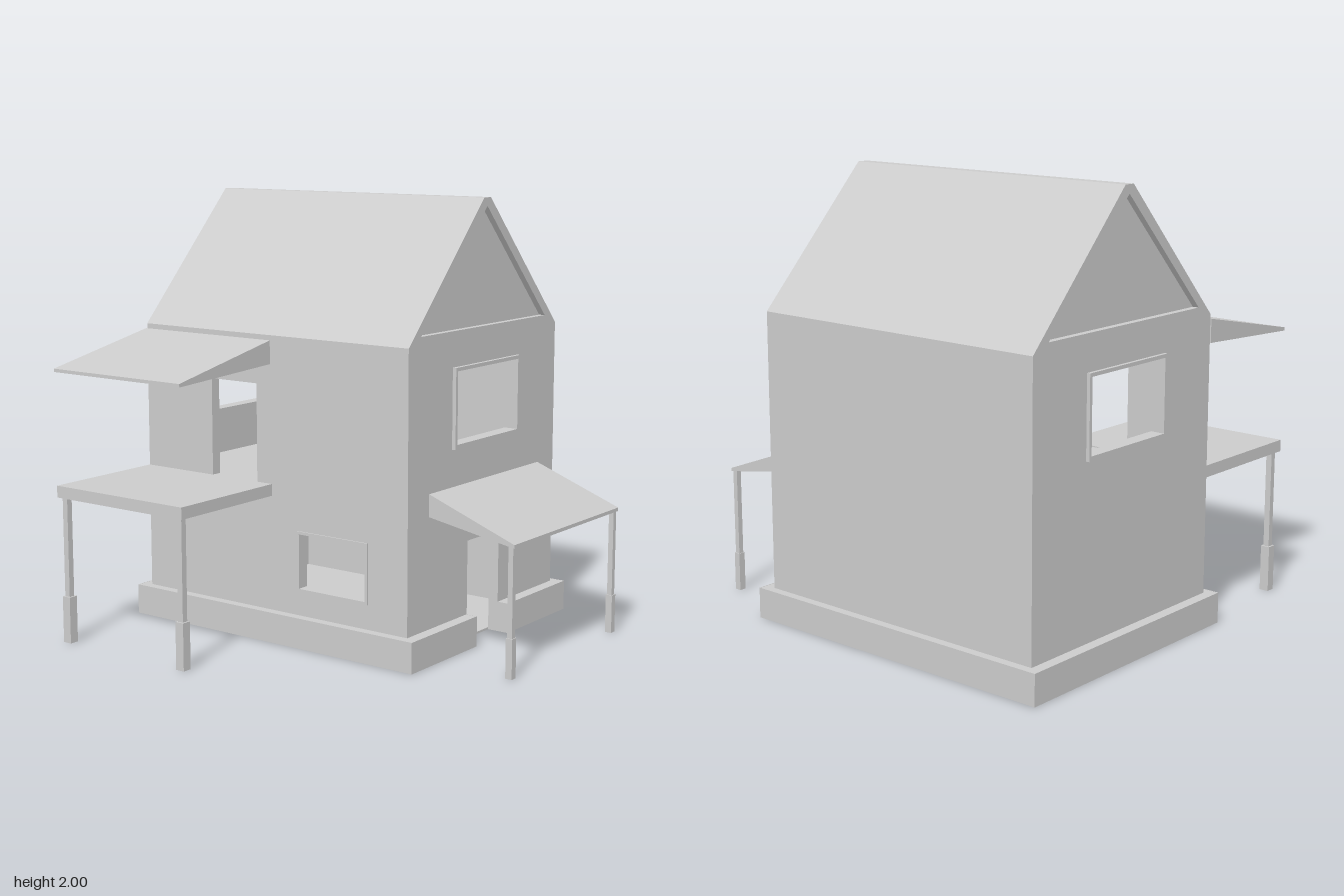
import * as THREE from 'three';

const mat = new THREE.MeshStandardMaterial({ color: 0xcccccc, flatShading: true });

// House outline
const X0 = -0.94, X1 = 0.55, Z0 = -0.88, Z1 = 0.316, T = 0.05;
const BASE = 0.14, EAVE = 1.395, RIDGE = 2, ZM = -0.28;

const rect = (a, b, c, d) => [[a, b], [c, b], [c, d], [a, d]];

function extrude(points, holes, depth) {
  const shape = new THREE.Shape(points.map(p => new THREE.Vector2(...p)));
  for (const h of holes) shape.holes.push(new THREE.Path(h.map(p => new THREE.Vector2(...p))));
  return new THREE.ExtrudeGeometry(shape, { depth, bevelEnabled: false });
}

export function createModel() {
  const group = new THREE.Group();
  const add = (name, geometry) => {
    const mesh = new THREE.Mesh(geometry, mat);
    mesh.name = name;
    group.add(mesh);
    return mesh;
  };
  // Box from its minimum and maximum corners
  const box = (name, x0, x1, y0, y1, z0, z1) =>
    add(name, new THREE.BoxGeometry(x1 - x0, y1 - y0, z1 - z0)
      .translate((x0 + x1) / 2, (y0 + y1) / 2, (z0 + z1) / 2));
  // Profile in (x, y) extruded along z
  const alongZ = (name, pts, holes, z0, z1) =>
    add(name, extrude(pts, holes, z1 - z0).translate(0, 0, z0));
  // Profile in (z, y) extruded along x
  const alongX = (name, pts, holes, x0, x1) =>
    add(name, extrude(pts, holes, x1 - x0).rotateY(-Math.PI / 2).translate(x1, 0, 0));
  // Plan in (x, z) extruded from y0 up to y1
  const alongY = (name, pts, holes, y0, y1) =>
    add(name, extrude(pts, holes, y1 - y0).rotateX(Math.PI / 2).translate(0, y1, 0));

  // Plinth: a hollow skirt open below, with a gap at the side door
  const ix0 = X0 + T, ix1 = X1 - T, iz0 = Z0 + T, iz1 = Z1 - T;
  const doorA = -0.41, doorB = -0.15;
  const plinthPlan = d => {
    const x0 = -0.99 + d, x1 = 0.605 - d, z0 = -0.92 + d, z1 = 0.36 - d;
    const a = doorA - d, b = doorB + d;
    return [[x1, b], [x1, z1], [x0, z1], [x0, z0], [x1, z0], [x1, a],
      [ix1 + d, a], [ix1 + d, iz0 - d], [ix0 - d, iz0 - d],
      [ix0 - d, iz1 + d], [ix1 + d, iz1 + d], [ix1 + d, b]];
  };
  alongY('plinthSkirt', plinthPlan(0), [plinthPlan(0.004)], 0, BASE);
  alongY('plinthTop', plinthPlan(0.002), [], BASE - 0.006, BASE - 0.0005);

  // Floors inside
  box('groundFloor', ix0, ix1, 0, 0.01, iz0, iz1);
  box('upperFloor', ix0, ix1, 0.668, 0.718, iz0, iz1);
  box('ceiling', ix0, ix1, EAVE, 1.43, iz0, iz1);

  // Long walls
  const frontWindow = rect(-0.037, 0.265, 0.327, 0.515);
  const balconyDoor = rect(-0.545, 0.723, -0.28, 1.172);
  alongZ('frontWall', rect(ix0, BASE, ix1, EAVE), [frontWindow, balconyDoor], iz1, Z1);
  box('backWall', ix0, ix1, BASE, EAVE, Z0, iz0);

  // Gable walls with a window and a recessed triangle
  const sideWindow = rect(-0.528, 0.935, -0.033, 1.26);
  const triangle = [[-0.785, 1.435], [0.225, 1.435], [ZM, 1.962]];
  const top = [[Z1, EAVE], [ZM + 0.027, RIDGE], [ZM - 0.027, RIDGE], [Z0, EAVE]];
  const plain = [[Z0, BASE], [Z1, BASE], ...top];
  const withDoor = [[Z0, BASE], [doorA, BASE], [doorA, 0.48], [doorB, 0.48], [doorB, BASE], [Z1, BASE], ...top];
  alongX('leftGableWall', withDoor, [sideWindow, triangle], ix1, X1);
  alongX('rightGableWall', plain, [sideWindow, triangle], X0, ix0);
  alongX('leftGablePanel', triangle, [], ix1, X1 - 0.03);
  alongX('rightGablePanel', triangle, [], X0 + 0.03, ix0);

  // Roof slabs between the gables
  alongX('roof', [...top, [Z0 + 0.06, EAVE], [ZM, RIDGE - 0.06], [Z1 - 0.06, EAVE]], [], ix0, ix1);

  // Window frames
  const sideFrame = rect(-0.543, 0.914, -0.018, 1.276);
  alongX('leftWindowFrame', sideFrame, [sideWindow], X1, X1 + 0.018);
  alongX('rightWindowFrame', sideFrame, [sideWindow], X0 - 0.016, X0);
  alongZ('frontWindowFrame', rect(-0.05, 0.252, 0.34, 0.528), [frontWindow], Z1, Z1 + 0.007);

  // Balcony and its sloping canopy
  box('balcony', X0, -0.195, 0.669, 0.723, Z1, 0.92);
  alongX('balconyCanopy', [[Z1 + 0.008, 1.267], [0.92, 1.236], [0.92, 1.251], [Z1 + 0.008, 1.373]], [], X0, -0.195);

  // Porch canopy over the side door
  alongZ('porchCanopy', [[0.557, 0.647], [0.99, 0.571], [0.99, 0.587], [0.557, 0.748]], [], -0.73, 0.167);

  // Posts with thicker feet
  const post = (name, x, z, foot, footTop, shaft, height) => {
    box(name + 'Foot', x - foot, x + foot, 0, footTop, z - foot, z + foot);
    box(name, x - shaft, x + shaft, footTop, height, z - shaft, z + shaft);
  };
  for (const x of [-0.906, -0.222]) post('balconyPost', x, 0.893, 0.022, 0.214, 0.014, 0.67);
  for (const z of [-0.713, 0.152]) post('porchPost', 0.971, z, 0.016, 0.178, 0.012, 0.576);

  return group;
}
